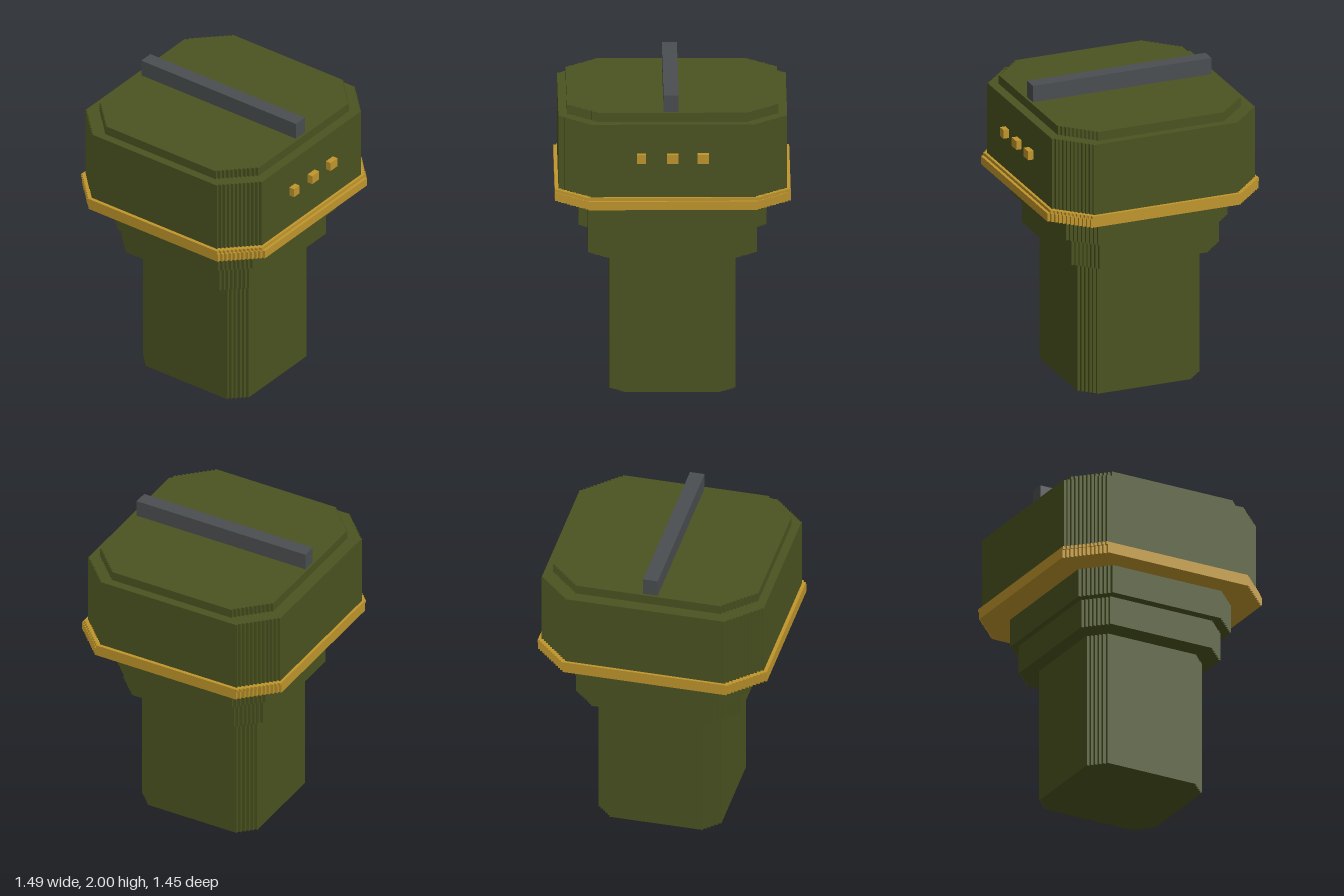
import * as THREE from 'three';

const STEP = 0.019; // size of one stair in the stepped corners

// Outline of a rectangle whose four corners are cut by small stairs
function steppedShape(halfX, halfZ, cut) {
  const n = Math.round(cut / STEP), s = cut / n;
  const corner = [];
  for (let i = 0; i < n; i++) {
    corner.push([halfX - i * s, halfZ - cut + i * s]);
    corner.push([halfX - (i + 1) * s, halfZ - cut + i * s]);
  }
  corner.push([halfX - cut, halfZ]);
  const points = [];
  for (const [sx, sz] of [[1, 1], [-1, 1], [-1, -1], [1, -1]]) {
    const quarter = corner.map(([x, z]) => new THREE.Vector2(x * sx, z * sz));
    if (sx * sz < 0) quarter.reverse();
    points.push(...quarter);
  }
  return new THREE.Shape(points);
}

export function createModel() {
  const model = new THREE.Group();
  const material = (name, color) => {
    const m = new THREE.MeshStandardMaterial({ color });
    m.name = name;
    return m;
  };
  const green = material('olive green', 0x4b5320);
  const gold = material('dull gold', 0xc0962c);
  const grey = material('dark grey', 0x4a4e50);

  const add = (name, geometry, mat) => {
    const mesh = new THREE.Mesh(geometry, mat);
    mesh.name = name;
    model.add(mesh);
  };
  const tier = (name, mat, [x0, x1], [y0, y1], [z0, z1], cut) => {
    const shape = steppedShape((x1 - x0) / 2, (z1 - z0) / 2, cut);
    const g = new THREE.ExtrudeGeometry(shape, { depth: y1 - y0, bevelEnabled: false });
    g.rotateX(-Math.PI / 2);
    g.translate((x0 + x1) / 2, y0, (z0 + z1) / 2);
    add(name, g, mat);
  };
  const box = (name, mat, [x0, x1], [y0, y1], [z0, z1]) => {
    const g = new THREE.BoxGeometry(x1 - x0, y1 - y0, z1 - z0);
    g.translate((x0 + x1) / 2, (y0 + y1) / 2, (z0 + z1) / 2);
    add(name, g, mat);
  };

  // Stem and two widening collars
  tier('stem', green, [-0.4, 0.397], [0, 0.9], [-0.415, 0.42], 0.095);
  tier('lowerCollar', green, [-0.535, 0.53], [0.9, 1.09], [-0.51, 0.5], 0.133);
  tier('upperCollar', green, [-0.595, 0.59], [1.09, 1.28], [-0.55, 0.555], 0.155);

  // Gold band, with a slightly lower lip along the front
  tier('band', gold, [-0.745, 0.742], [1.28, 1.335], [-0.722, 0.724], 0.21);
  tier('bandTop', gold, [-0.745, 0.742], [1.335, 1.355], [-0.722, 0.705], 0.2);

  // Head and raised cap
  tier('head', green, [-0.722, 0.72], [1.355, 1.83], [-0.705, 0.687], 0.2);
  tier('cap', green, [-0.668, 0.664], [1.83, 1.89], [-0.627, 0.627], 0.19);

  // Bar across the top
  box('topBar', grey, [-0.06, 0.035], [1.89, 2], [-0.612, 0.61]);

  // Three studs on the front
  for (const [x0, x1] of [[-0.23, -0.173], [-0.04, 0.033], [0.152, 0.225]])
    box('frontStud', gold, [x0, x1], [1.583, 1.642], [0.68, 0.724]);

  return model;
}
